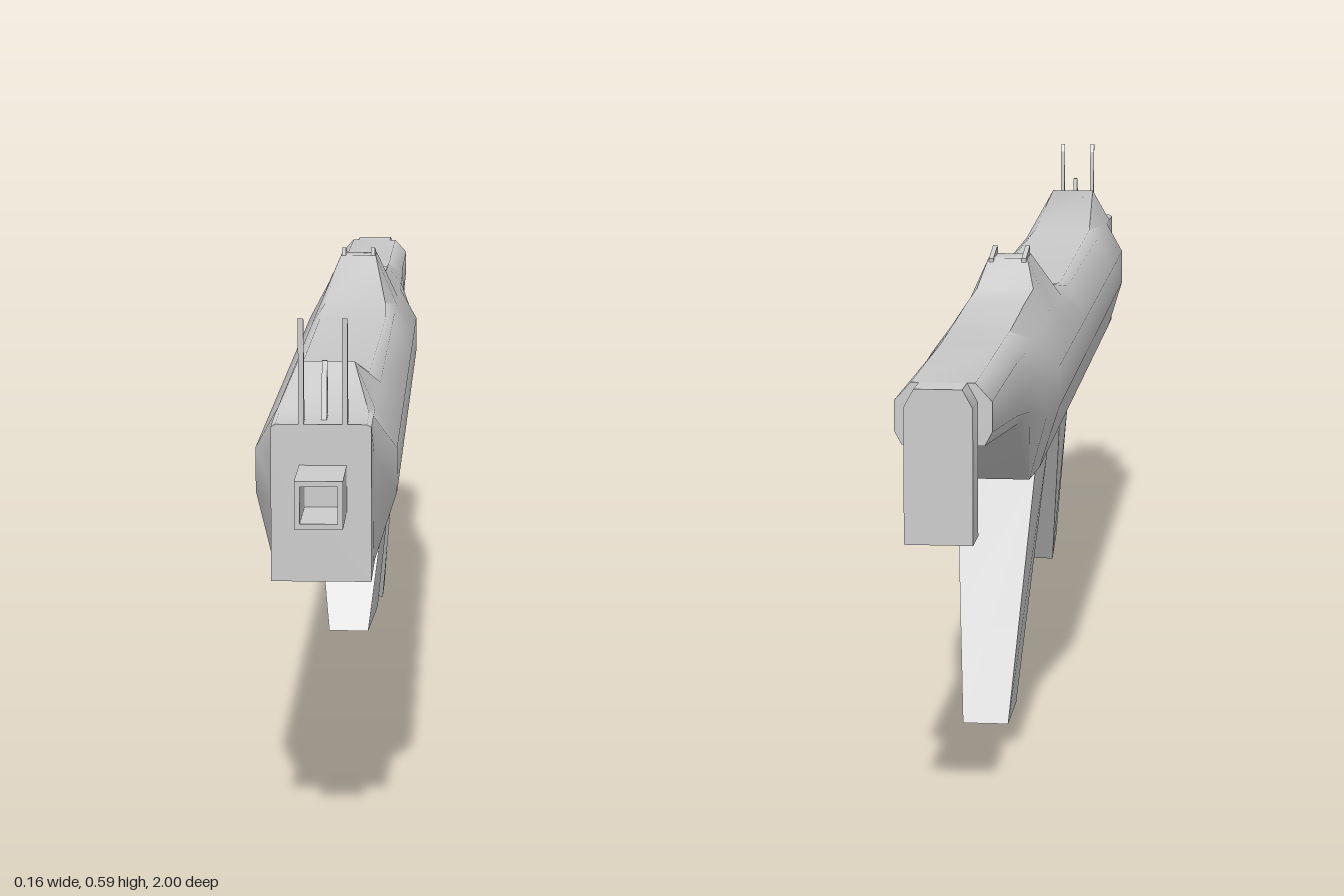
import * as THREE from 'three';
import { toCreasedNormals } from 'three/addons/utils/BufferGeometryUtils.js';

const material = new THREE.MeshStandardMaterial({ color: 0xcccccc, side: THREE.DoubleSide });

// Skin a list of equal-length rings (counter-clockwise seen from the first end) and cap both ends.
function loft(rings, crease) {
  const n = rings[0].length, index = [];
  for (let i = 0; i < rings.length - 1; i++) {
    for (let j = 0; j < n; j++) {
      const k = (j + 1) % n, a = i * n + j, b = i * n + k;
      index.push(a, a + n, b, b, a + n, b + n);
    }
  }
  const last = (rings.length - 1) * n;
  for (let j = 1; j < n - 1; j++) {
    index.push(0, j, j + 1, last, last + j + 1, last + j);
  }
  const geometry = new THREE.BufferGeometry();
  geometry.setAttribute('position', new THREE.Float32BufferAttribute(rings.flat(2), 3));
  geometry.setIndex(index);
  return toCreasedNormals(geometry, crease);
}

// Extrude a side outline given as [z, y] points to a thickness centred on x.
function sidePlate(points, thickness, x = 0) {
  const shape = new THREE.Shape(points.map(([z, y]) => new THREE.Vector2(-z, y)));
  return new THREE.ExtrudeGeometry(shape, { depth: thickness, bevelEnabled: false })
    .translate(0, 0, -thickness / 2).rotateY(Math.PI / 2).translate(x, 0, 0);
}

// Slanted handle: each level is [y, front z, back z, front half width, back half width].
function handle(levels) {
  return loft(levels.map(([y, zf, zb, wf, wb]) =>
    [[wf, y, zf], [wb, y, zb], [-wb, y, zb], [-wf, y, zf]]), 0.3).translate(0.002, 0, 0);
}

// Faceted body ring from bottom, top and half widths at the sides, bottom and top.
function bodyRing([z, bottom, top, side, low, high]) {
  const y1 = Math.max(0.38, bottom + 0.015), y2 = Math.max(0.43, y1 + 0.01);
  const half = [[low, bottom], [side, y1], [side, y2],
    [Math.min(side, 0.055), Math.min(0.475, top - 0.003)], [high, top]];
  return [...half.map(([x, y]) => [x, y, z]),
    ...half.map(([x, y]) => [-x, y, z]).reverse()];
}

export function createModel() {
  const model = new THREE.Group();
  const add = (name, geometry) => {
    const mesh = new THREE.Mesh(geometry, material);
    mesh.name = name;
    model.add(mesh);
  };

  // Long body with front hump, rear sight bump and tapering stock
  const sections = [
    [0.9, 0.302, 0.476, 0.055, 0.055, 0.05],
    [0.83, 0.302, 0.478, 0.056, 0.055, 0.05],
    [0.775, 0.302, 0.528, 0.08, 0.055, 0.032],
    [0.57, 0.302, 0.487, 0.08, 0.055, 0.042],
    [0, 0.302, 0.48, 0.08, 0.055, 0.045],
    [-0.1, 0.302, 0.49, 0.08, 0.055, 0.042],
    [-0.215, 0.302, 0.545, 0.08, 0.055, 0.025],
    [-0.265, 0.302, 0.545, 0.08, 0.055, 0.025],
    [-0.3, 0.302, 0.51, 0.08, 0.055, 0.036],
    [-0.42, 0.302, 0.507, 0.08, 0.055, 0.036],
    [-0.5, 0.302, 0.503, 0.071, 0.05, 0.036],
    [-0.6, 0.388, 0.499, 0.06, 0.045, 0.036],
    [-0.68, 0.397, 0.497, 0.053, 0.045, 0.035],
    [-0.955, 0.427, 0.495, 0.053, 0.045, 0.035],
  ];
  add('body', loft(sections.map(bodyRing), 0.95));

  // Butt plate with chamfered upper corners
  const buttRing = (z) => [[0.037, 0.327, z], [0.037, 0.475, z], [0.026, 0.495, z],
    [-0.026, 0.495, z], [-0.037, 0.475, z], [-0.037, 0.327, z]];
  add('buttPlate', loft([buttRing(-0.95), buttRing(-1)], 0.8));

  // Hollow square barrel
  const square = (path, h) => path.moveTo(-h, -h).lineTo(h, -h).lineTo(h, h).lineTo(-h, h).closePath();
  const outline = square(new THREE.Shape(), 0.026);
  outline.holes.push(square(new THREE.Path(), 0.02));
  add('barrel', new THREE.ExtrudeGeometry(outline, { depth: 0.12, bevelEnabled: false })
    .translate(0.002, 0.405, 0.88));

  // Forward-slanted front grip and backward-slanted rear grip
  add('frontGrip', handle([
    [0.32, 0.045, -0.113, 0.053, 0.055],
    [0.302, 0.057, -0.1, 0.053, 0.055],
    [0.085, 0.188, 0.035, 0.026, 0.034],
  ]));
  add('rearGrip', handle([
    [0.32, -0.272, -0.383, 0.055, 0.05],
    [0.302, -0.28, -0.39, 0.055, 0.05],
    [0, -0.425, -0.525, 0.028, 0.028],
  ]));

  // Trigger in front of the rear grip
  add('trigger', sidePlate([[-0.215, 0.305], [-0.265, 0.28], [-0.28, 0.25],
    [-0.315, 0.25], [-0.33, 0.305]], 0.045, 0.002));

  // Front sight: two tall prongs with a short post behind
  for (const side of [-1, 1]) {
    add('frontSightProng', sidePlate([[0.9, 0.47], [0.9, 0.592], [0.893, 0.58],
      [0.887, 0.51], [0.87, 0.47]], 0.006, 0.002 + side * 0.024));
  }
  add('frontSightPost', sidePlate([[0.875, 0.47], [0.856, 0.54], [0.85, 0.54],
    [0.84, 0.47]], 0.006, 0.002));

  // Rear sight: two small wedges on the bump
  for (const side of [-1, 1]) {
    add('rearSightWedge', sidePlate([[-0.215, 0.535], [-0.219, 0.556], [-0.27, 0.545],
      [-0.27, 0.535]], 0.006, side * 0.021));
  }
  return model;
}
